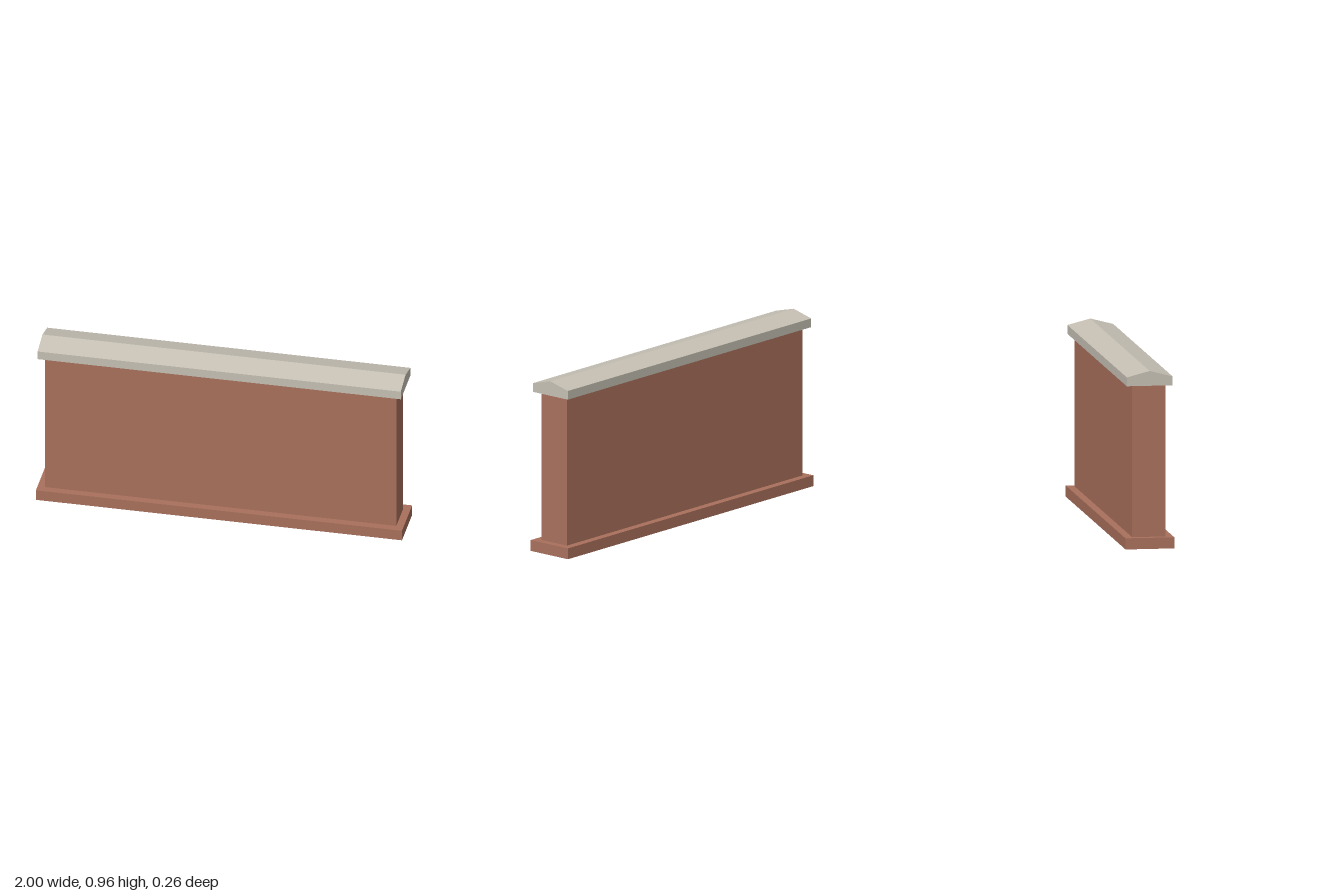
import * as THREE from 'three';

export function createModel() {
  const group = new THREE.Group();
  group.name = 'gardenWall';

  const brick = new THREE.MeshStandardMaterial({ color: 0xa9705c });
  brick.name = 'brick red';
  const stone = new THREE.MeshStandardMaterial({ color: 0xc6c0b4 });
  stone.name = 'pale stone';

  // Box standing on the given height
  const block = (name, width, height, depth, bottom) => {
    const mesh = new THREE.Mesh(new THREE.BoxGeometry(width, height, depth), brick);
    mesh.name = name;
    mesh.position.y = bottom + height / 2;
    group.add(mesh);
  };
  block('plinth', 2, 0.06, 0.264, 0);
  block('wallBody', 1.92, 0.82, 0.18, 0.06);

  // Coping: gabled cross-section extruded along the wall
  const length = 1.984;
  const profile = new THREE.Shape([
    [-0.124, 0.88], [0.124, 0.88], [0.124, 0.928], [0, 0.96], [-0.124, 0.928],
  ].map(([z, y]) => new THREE.Vector2(z, y)));
  const copingGeometry = new THREE.ExtrudeGeometry(profile, { depth: length, bevelEnabled: false });
  copingGeometry.translate(0, 0, -length / 2).rotateY(Math.PI / 2);
  const coping = new THREE.Mesh(copingGeometry, stone);
  coping.name = 'coping';
  group.add(coping);

  return group;
}
